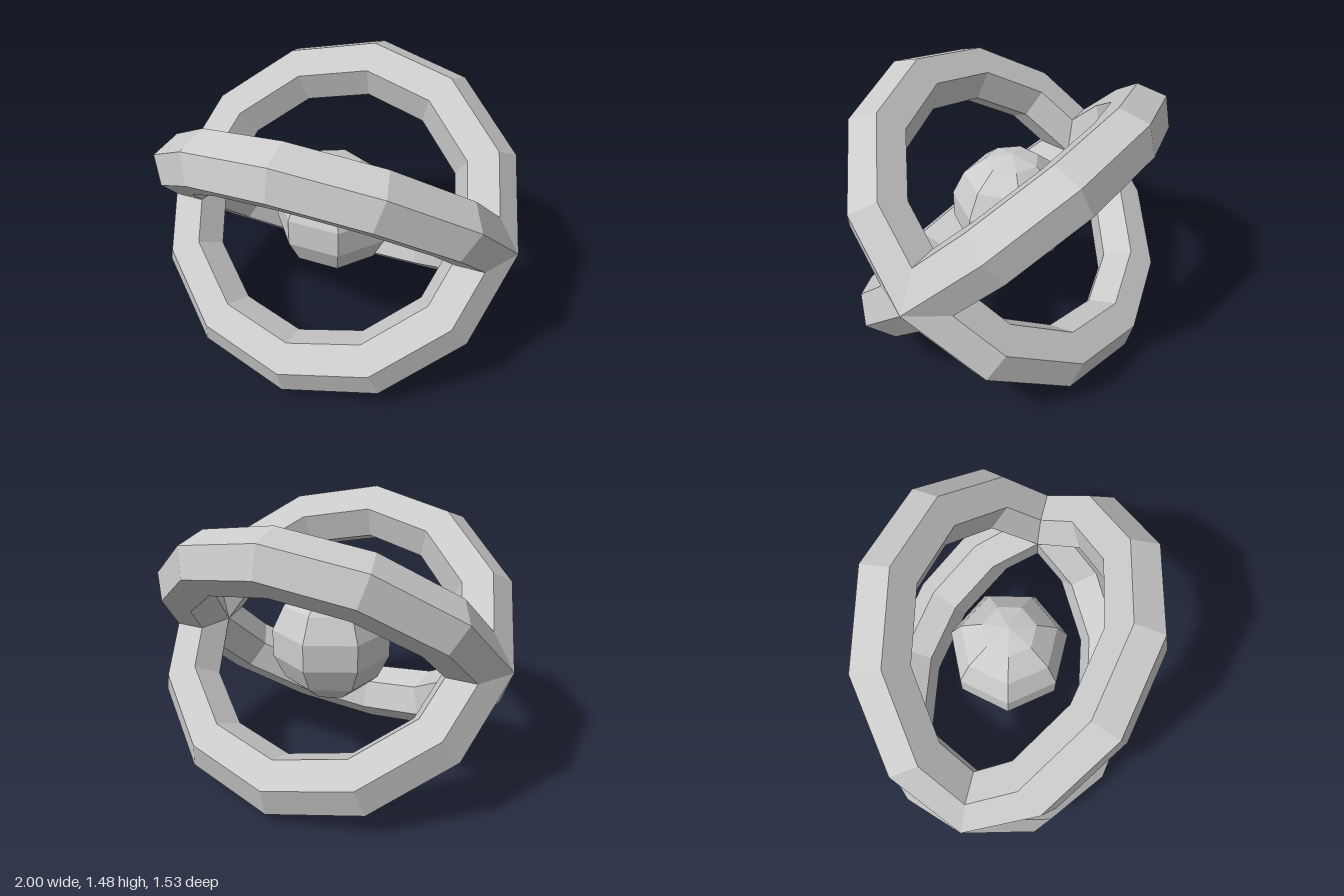
import * as THREE from 'three';

export function createModel() {
  const model = new THREE.Group();
  model.name = 'crossedRings';
  const material = new THREE.MeshStandardMaterial({ color: 0xcccccc, flatShading: true });
  const centreY = 0.742;

  const add = (name, geometry) => {
    const mesh = new THREE.Mesh(geometry, material);
    mesh.name = name;
    mesh.position.y = centreY;
    model.add(mesh);
    return mesh;
  };

  // Two hexagonal-section rings sharing the x axis, tilted opposite ways
  const ring = new THREE.TorusGeometry(0.837, 0.163, 6, 12);
  add('frontTiltedRing', ring).rotation.x = 0.815;
  add('backTiltedRing', ring).rotation.x = -0.8;

  // Faceted core with a corner pointing to the back
  add('core', new THREE.SphereGeometry(0.33, 7, 7)).rotation.y = -Math.PI / 2;

  return model;
}
